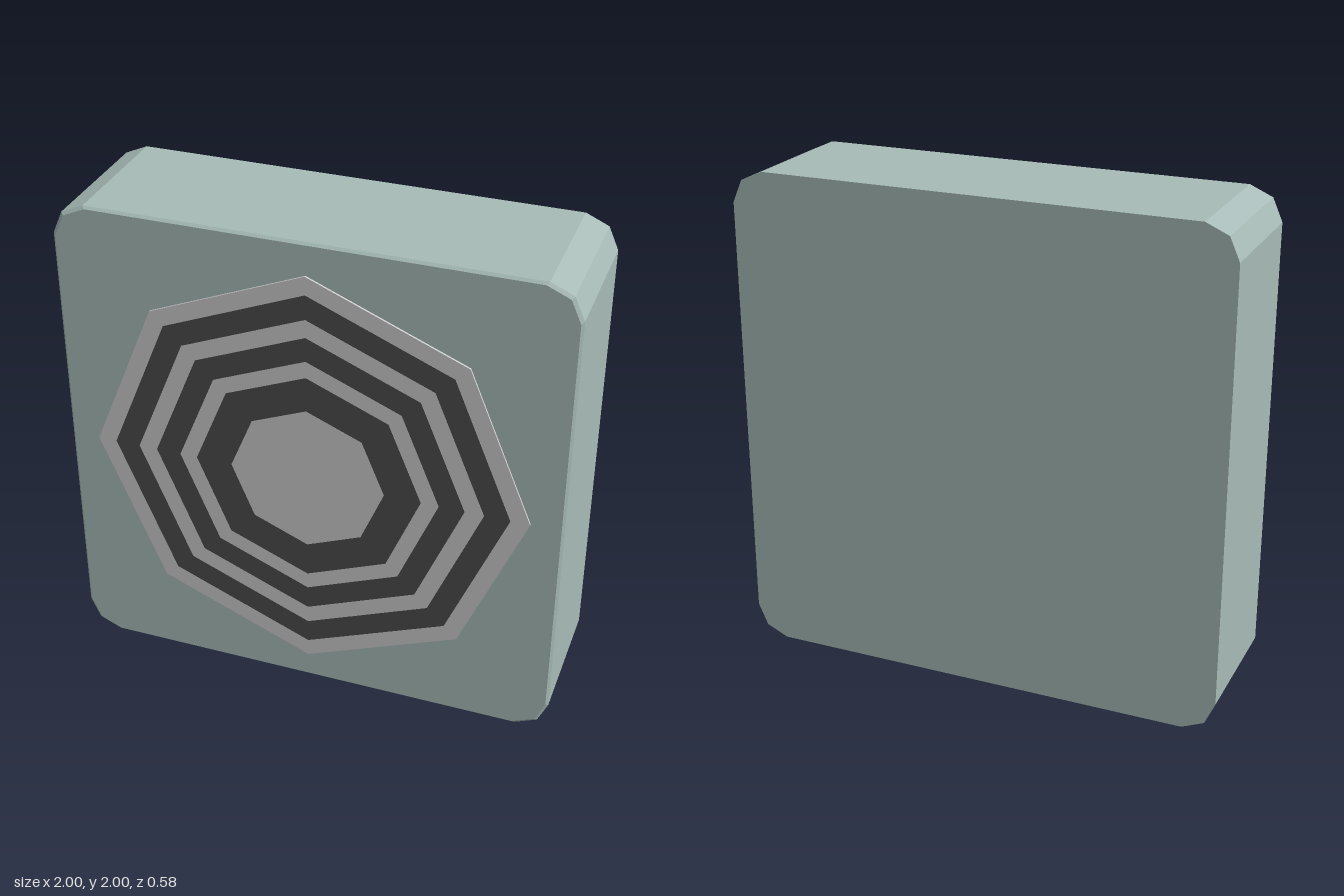
import * as THREE from 'three';

export function createModel() {
  const model = new THREE.Group();
  const paint = (color) => new THREE.MeshStandardMaterial({ color, flatShading: true });
  const shellColor = paint(0xa8bcb8);
  const lightColor = paint(0xcccaca);
  const darkColor = paint(0x4c4c4c);
  lightColor.side = darkColor.side = THREE.DoubleSide;

  const add = (name, geometry, material, z = 0) => {
    const mesh = new THREE.Mesh(geometry, material);
    mesh.name = name;
    mesh.position.set(0, 1, z);
    model.add(mesh);
  };

  // Cabinet: square with two-facet corners, narrowed slightly at the front edge
  const corner = [[1, 0.87], [0.96, 0.96], [0.87, 1]];
  const outline = [];
  for (let i = 0; i < 4; i++) {
    const turn = i * Math.PI / 2;
    for (const [x, y] of corner) outline.push(new THREE.Vector2(x, y).rotateAround(new THREE.Vector2(), turn));
  }
  const back = -0.29, bevelStart = 0.265, front = 0.275;
  const cabinet = new THREE.ExtrudeGeometry(new THREE.Shape(outline), { depth: 2, steps: 2, bevelEnabled: false });
  const p = cabinet.attributes.position;
  for (let i = 0; i < p.count; i++) {
    const layer = Math.round(p.getZ(i));
    const s = layer === 2 ? 0.99 : 1;
    p.setXYZ(i, p.getX(i) * s, p.getY(i) * s, [back, bevelStart, front][layer]);
  }
  cabinet.computeVertexNormals();
  add('cabinet', cabinet, shellColor);

  // Octagonal speaker plate: thin rim and alternating concentric bands
  const plateFront = 0.29, thickness = 0.008;
  const radii = [0.875, 0.8, 0.7, 0.625, 0.525, 0.455, 0.31, 0];
  const rim = new THREE.CylinderGeometry(radii[0], radii[0], thickness, 8, 1, true);
  rim.rotateX(Math.PI / 2);
  add('speakerRim', rim, lightColor, plateFront - thickness / 2);
  add('speakerBack', new THREE.CircleGeometry(radii[0], 8).rotateY(Math.PI), lightColor, plateFront - thickness);

  for (let i = 0; i < radii.length - 1; i++) {
    const dark = i % 2 === 1;
    const band = radii[i + 1] > 0
      ? new THREE.RingGeometry(radii[i + 1], radii[i], 8)
      : new THREE.CircleGeometry(radii[i], 8);
    add(dark ? 'darkBand' : 'lightBand', band, dark ? darkColor : lightColor, plateFront);
  }

  return model;
}
